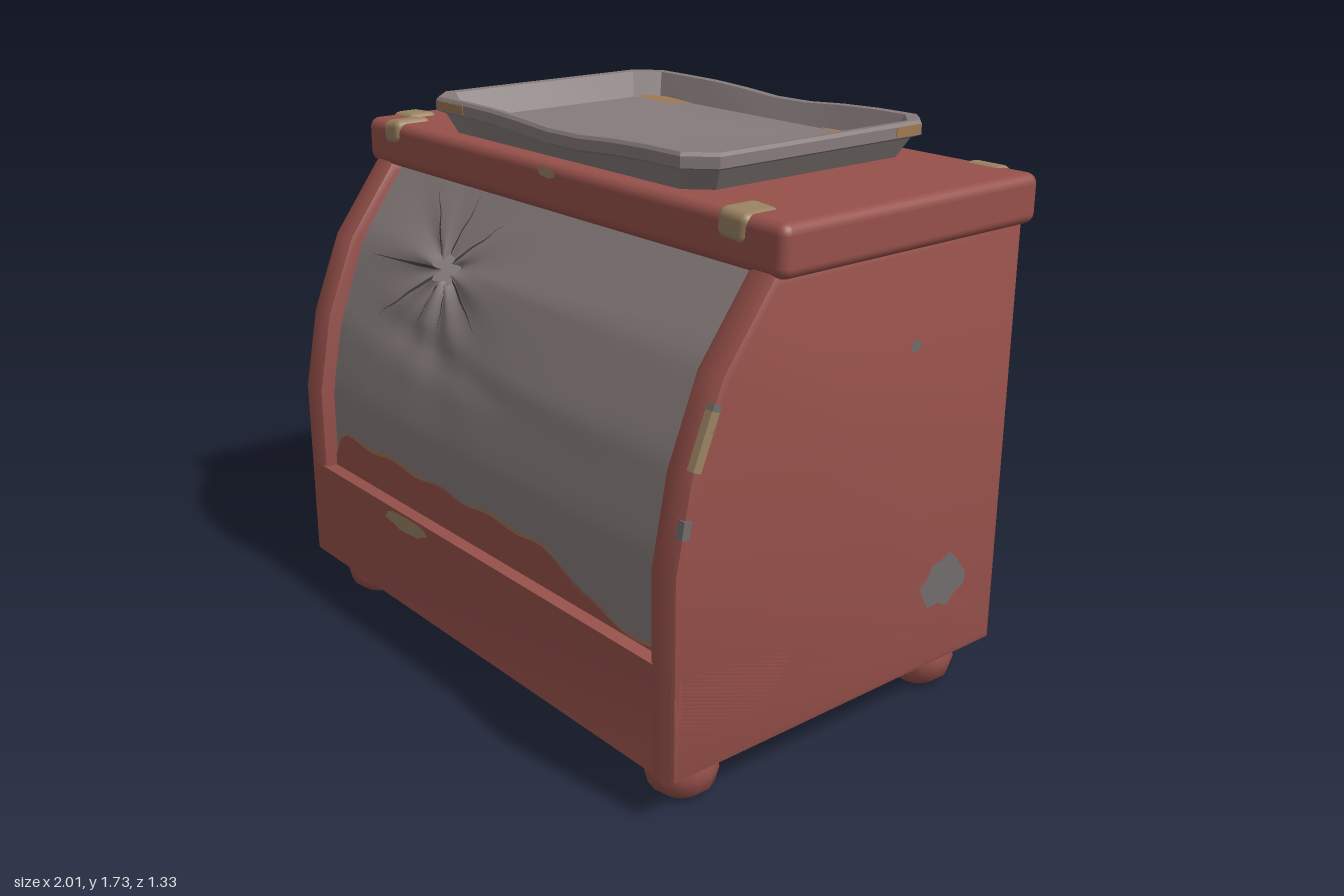
import * as THREE from 'three';
import { toCreasedNormals } from 'three/addons/utils/BufferGeometryUtils.js';
import { RoundedBoxGeometry } from 'three/addons/geometries/RoundedBoxGeometry.js';

const mat = (name, color) => new THREE.MeshStandardMaterial({ name, color, side: THREE.DoubleSide });

// Front curve of the case as [z, y]
const FRONT = [[0.66, 0.14], [0.66, 0.74], [0.61, 1.0], [0.51, 1.25], [0.34, 1.48]];
const frontZ = (y) => {
  for (let i = 1; i < FRONT.length; i++) {
    const [z0, y0] = FRONT[i - 1], [z1, y1] = FRONT[i];
    if (y <= y1) return z0 + (z1 - z0) * (y - y0) / (y1 - y0);
  }
  return 0.34;
};

// Surface from a point rule over a (nu x nv) grid
function grid(nu, nv, fn) {
  const pos = [], idx = [];
  for (let i = 0; i <= nu; i++) for (let j = 0; j <= nv; j++) pos.push(...fn(i, j));
  for (let i = 0; i < nu; i++) for (let j = 0; j < nv; j++) {
    const a = i * (nv + 1) + j, b = a + nv + 1;
    idx.push(a, b, b + 1, a, b + 1, a + 1);
  }
  const g = new THREE.BufferGeometry();
  g.setAttribute('position', new THREE.Float32BufferAttribute(pos, 3));
  g.setIndex(idx);
  g.computeVertexNormals();
  return g;
}

// Extrude a [z, y] outline along x with softened edges, centred on x
function slab(points, width, bevel) {
  const g = new THREE.ExtrudeGeometry(new THREE.Shape(points.map((p) => new THREE.Vector2(...p))), {
    depth: width - 2 * bevel, bevelThickness: bevel, bevelSize: bevel, bevelOffset: -bevel, bevelSegments: 2,
  });
  g.translate(0, 0, -(width - 2 * bevel) / 2).rotateY(-Math.PI / 2);
  return toCreasedNormals(g, 0.6);
}

export function createModel() {
  const root = new THREE.Group();
  root.name = 'displayCase';
  const red = mat('red paint', 0x96504a);
  const grey = mat('grey metal', 0x857b7a);
  const chipped = mat('bare metal', 0x716d6c);
  const rust = mat('rust', 0xa07852);
  const tape = mat('tan tape', 0x9a8262);
  const dark = mat('crack dark', 0x4a4443);

  const add = (name, geo, material, x = 0, y = 0, z = 0) => {
    const m = new THREE.Mesh(geo, material);
    m.name = name;
    m.position.set(x, y, z);
    root.add(m);
    return m;
  };
  let seed = 7;
  const rnd = () => (seed = (seed * 16807) % 2147483647) / 2147483647;

  // Irregular flat patch; rx, ry turn it towards its surface
  const blob = (name, material, w, h, x, y, z, rx = 0, ry = 0) => {
    const pts = [];
    for (let i = 0; i < 14; i++) {
      const a = i / 14 * Math.PI * 2, r = 0.8 + 0.3 * rnd();
      pts.push(new THREE.Vector2(Math.cos(a) * w * r, Math.sin(a) * h * r));
    }
    add(name, new THREE.ShapeGeometry(new THREE.Shape(pts)), material, x, y, z).rotation.set(rx, ry, 0);
  };

  // Base and side walls
  add('base', slab([[-0.64, 0.14], [0.66, 0.14], [0.66, 0.47], [-0.64, 0.47]], 1.94, 0.025), red);
  const sideOutline = [[-0.64, 0.14], ...FRONT, [-0.64, 1.48]];
  const liningOutline = [[-0.61, 0.45], [0.6, 0.45], [0.6, 0.74], [0.55, 1.0], [0.45, 1.25], [0.29, 1.47], [-0.61, 1.47]];
  for (const s of [-1, 1]) {
    add('sideWall', slab(sideOutline, 0.11, 0.025), red, s * 0.915);
    add('sideLining', slab(liningOutline, 0.006, 0.001), grey, s * 0.859);
    for (const z of [0.5, -0.485]) {
      const foot = [[0, 0], [0.06, 0], [0.095, 0.03], [0.108, 0.08], [0.1, 0.12], [0.085, 0.16]];
      add('foot', new THREE.LatheGeometry(foot.map((p) => new THREE.Vector2(...p)), 14), red, s * 0.815, 0, z);
    }
  }
  add('innerFloor', new THREE.BoxGeometry(1.72, 0.008, 1.2), grey, 0, 0.472, 0);
  add('shelf', new THREE.BoxGeometry(1.72, 0.055, 0.88), grey, 0, 0.945, 0.06);
  add('lid', new RoundedBoxGeometry(2, 0.147, 1.005, 3, 0.032), red, 0, 1.5415, -0.1575);

  // Dented front pane: rays run from the hole to the pane's border
  const hole = [-0.385, 1.23];
  const paneZ = (x, y) => {
    const dx = x - hole[0], dy = y - hole[1], r = Math.hypot(dx, dy), a = Math.atan2(dy, dx);
    const star = Math.exp(-r / 0.16) * (-0.03 + 0.018 * Math.cos(a * 8 + 1));
    const crease = -0.02 * Math.exp(-(((y - 0.97 + 0.08 * x) / 0.05) ** 2)) * Math.exp(-(((x + 0.4) / 0.35) ** 2));
    return frontZ(y) - 0.05 + star + crease;
  };
  const corners = [[-0.865, 0.465], [0.865, 0.465], [0.865, 1.475], [-0.865, 1.475]];
  const N = 20;
  add('frontPane', grid(4 * N, 22, (i, j) => {
    const k = Math.floor(i / N) % 4, t = (i % N) / N;
    const bx = THREE.MathUtils.lerp(corners[k][0], corners[(k + 1) % 4][0], t);
    const by = THREE.MathUtils.lerp(corners[k][1], corners[(k + 1) % 4][1], t);
    const a = Math.atan2(by - hole[1], bx - hole[0]), r = 0.048 + 0.009 * Math.sin(a * 5);
    const f = (j / 22) ** 1.4;
    const x = THREE.MathUtils.lerp(hole[0] + Math.cos(a) * r * 1.15, bx, f);
    const y = THREE.MathUtils.lerp(hole[1] + Math.sin(a) * r * 0.85, by, f);
    return [x, y, paneZ(x, y)];
  }), grey);

  // Cracks as tapered slivers: [angle in degrees, length]
  for (const [deg, len] of [[40, 0.26], [85, 0.23], [135, 0.3], [183, 0.4], [215, 0.34], [252, 0.2], [290, 0.18], [333, 0.3]]) {
    const a = deg * Math.PI / 180;
    add('crack', grid(10, 1, (i, j) => {
      const r = 0.05 + (len - 0.05) * i / 10, w = (j - 0.5) * 0.013 * (1 - i / 10);
      const x = hole[0] + Math.cos(a) * r - Math.sin(a) * w + 0.008 * Math.sin(i * 1.3) * i / 10;
      const y = Math.min(1.46, hole[1] + Math.sin(a) * r + Math.cos(a) * w);
      return [x, y, paneZ(x, y) + 0.005];
    }), dark);
  }

  // Worn paint along the bottom of the pane, with a rusty upper edge
  const wearTop = (x) => {
    const t = THREE.MathUtils.smoothstep(x, 0.28, 0.72);
    return 0.6 - 0.115 * t + 0.007 * Math.sin(x * 23) - 0.09 * THREE.MathUtils.smoothstep(-x, 0.8, 0.86);
  };
  const band = (name, material, lo, hi, lift) => add(name, grid(40, 2, (i, j) => {
    const x = -0.86 + 1.72 * i / 40, y = THREE.MathUtils.lerp(lo(x), hi(x), j / 2);
    return [x, y, frontZ(y) - 0.05 + lift];
  }), material);
  band('paneWear', red, () => 0.468, wearTop, 0.006);
  band('paneWearEdge', rust, (x) => wearTop(x) - 0.004, (x) => wearTop(x) + 0.004 + 0.005 * Math.sin(x * 9), 0.008);

  // Worn paint along the back of the inner floor
  add('floorWear', grid(40, 1, (i, j) => {
    const x = -0.86 + 1.72 * i / 40;
    return [x, 0.479, j ? -0.5 + 0.04 * Math.sin(x * 5) : -0.6];
  }), red);

  // Tray: octagonal rings lofted from underside, over the rim, to the inner floor
  const hx = 0.663, hz = 0.467, c = 0.075;
  const oct = [[hx, c - hz], [hx, hz - c], [hx - c, hz], [c - hx, hz], [-hx, hz - c], [-hx, c - hz], [c - hx, -hz], [hx - c, -hz]];
  const rings = [[0, 0, 1.62], [0.91, 0.9, 1.62], [0.965, 0.95, 1.68], [1, 1, 1.69], [1, 1, 1.722],
    [0.99, 0.985, 1.732], [0.95, 0.935, 1.73], [0.89, 0.86, 1.65], [0, 0, 1.642]];
  add('tray', toCreasedNormals(grid(64, rings.length - 1, (i, j) => {
    const k = Math.floor(i / 8) % 8, t = (i % 8) / 8, [sx, sz, y] = rings[j];
    const x = THREE.MathUtils.lerp(oct[k][0], oct[(k + 1) % 8][0], t) * sx;
    const z = THREE.MathUtils.lerp(oct[k][1], oct[(k + 1) % 8][1], t) * sz;
    const dip = y > 1.67 ? 0.02 * Math.exp(-(((x - 0.06) / 0.22) ** 2)) : 0;
    return [x, y - dip, z];
  }), 0.5), grey, 0.004, 0, -0.135);

  // Rust on the tray: [x, z, half width, half depth]
  for (const [x, z, w, d] of [[-0.46, -0.5, 0.13, 0.04], [0.42, -0.52, 0.15, 0.016], [-0.42, 0.21, 0.14, 0.055],
    [-0.2, 0.23, 0.12, 0.025], [0.48, 0.21, 0.11, 0.06], [0.44, 0.15, 0.03, 0.04]]) {
    blob('trayRust', rust, w, d, x, 1.656, z, -Math.PI / 2);
  }
  add('trayRimRust', new THREE.BoxGeometry(0.008, 0.03, 0.1), rust, 0.665, 1.707, -0.47);
  add('trayRimRust', new THREE.BoxGeometry(0.14, 0.025, 0.008), rust, -0.5, 1.708, 0.331);

  // Tape wrapped over the lid's edges: [x, y, z, width, height, depth, turn]
  for (const [x, y, z, w, h, d, turn] of [[-0.84, 1.585, 0.285, 0.1, 0.078, 0.135, 0.12],
    [0.81, 1.58, 0.285, 0.115, 0.085, 0.135, -0.08], [-0.94, 1.58, 0.195, 0.13, 0.09, 0.11, 0.05],
    [-0.79, 1.575, -0.611, 0.13, 0.09, 0.11, 0], [0.83, 1.575, -0.632, 0.14, 0.09, 0.068, 0]]) {
    add('tape', new RoundedBoxGeometry(w, h, d, 2, 0.025), tape, x, y, z).rotation.z = turn;
  }
  blob('lidChip', tape, 0.045, 0.016, 0.02, 1.59, 0.349);

  // Chipped paint on the case
  blob('frontChip', tape, 0.13, 0.03, -0.35, 0.44, 0.664);
  blob('sideChip', chipped, 0.095, 0.085, 0.974, 0.42, -0.385, 0, Math.PI / 2);
  blob('sideChip', chipped, 0.02, 0.02, 0.974, 1.19, -0.2, 0, Math.PI / 2);
  add('edgeChip', new THREE.BoxGeometry(0.025, 0.16, 0.04), tape, 0.957, 1.09, 0.557).rotation.x = -0.38;
  add('edgeChip', new THREE.BoxGeometry(0.025, 0.07, 0.03), chipped, 0.957, 1.15, 0.537).rotation.x = -0.38;
  add('edgeChip', new THREE.BoxGeometry(0.025, 0.05, 0.03), chipped, 0.957, 0.87, 0.621).rotation.x = -0.19;
  blob('sidePatchScrape', dark, 0.1, 0.1, -0.974, 0.53, 0.48, 0, -Math.PI / 2);
  add('sidePatch', new THREE.BoxGeometry(0.008, 0.16, 0.15), chipped, -0.979, 0.54, 0.48).rotation.x = 0.2;
  return root;
}
